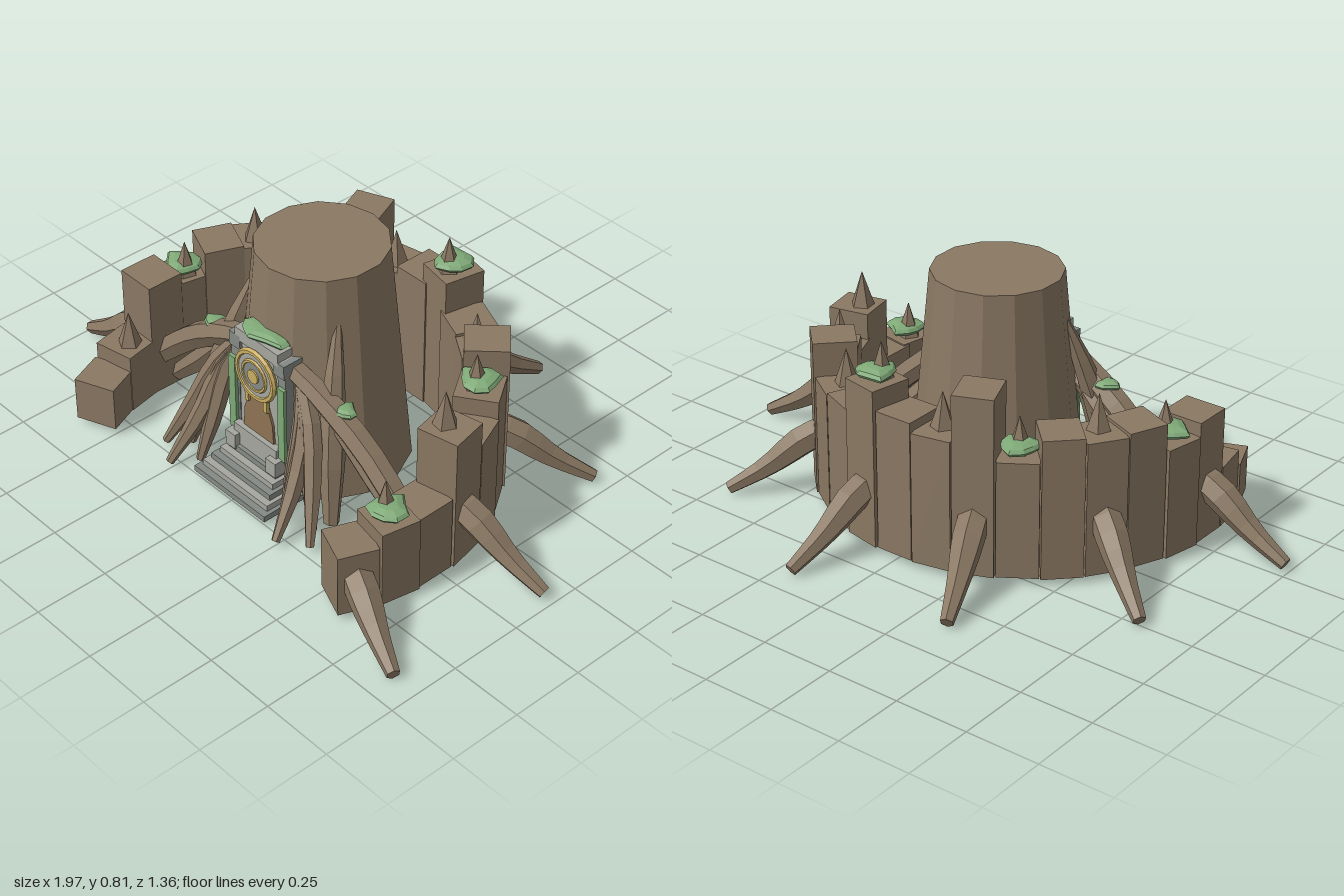
import * as THREE from 'three';

const mat = (name, color) => new THREE.MeshStandardMaterial({ name, color, flatShading: true });

export function createModel() {
  const bark = mat('bark', 0x8a7863), moss = mat('moss', 0x7fa977);
  const stone = mat('pale stone', 0xa6a79f), darkStone = mat('dark stone', 0x858a85);
  const gold = mat('gold', 0xc9ad62), wood = mat('door wood', 0x8f7355);
  const model = new THREE.Group();
  model.name = 'stumpShrine';

  const add = (name, geo, material, x = 0, y = 0, z = 0, parent = model) => {
    const g = geo.index ? geo.toNonIndexed() : geo;
    g.computeVertexNormals();
    const m = new THREE.Mesh(g, material);
    m.name = name;
    m.position.set(x, y, z);
    parent.add(m);
    return m;
  };
  const box = (name, material, w, h, d, x, y, z) =>
    add(name, new THREE.BoxGeometry(w, h, d), material, x, y + h / 2, z);

  // Tapered six-sided root along a curve; end rings collapse into caps
  const root = (name, points, radii, sides = 6) => {
    const curve = new THREE.CatmullRomCurve3(points.map(p => new THREE.Vector3(...p)));
    const n = 9;
    const geo = new THREE.TubeGeometry(curve, n, 1, sides);
    const pos = geo.attributes.position, v = new THREE.Vector3();
    for (let i = 0; i <= n; i++) {
      const t = THREE.MathUtils.clamp((i - 1) / (n - 2), 0, 1);
      const from = curve.getPointAt(i / n), to = curve.getPointAt(t);
      const f = t * (radii.length - 1), k = Math.min(Math.floor(f), radii.length - 2);
      const r = i === 0 || i === n ? 0 : THREE.MathUtils.lerp(radii[k], radii[k + 1], f - k);
      for (let j = 0; j <= sides; j++) {
        const id = i * (sides + 1) + j;
        v.fromBufferAttribute(pos, id).sub(from).multiplyScalar(r).add(to);
        pos.setXYZ(id, v.x, v.y, v.z);
      }
    }
    return add(name, geo, bark);
  };

  // Flattened lumpy moss cushion
  const cushion = (name, rx, ry, rz, x, y, z, seed = 0) => {
    const geo = new THREE.SphereGeometry(1, 9, 6);
    const pos = geo.attributes.position;
    for (let i = 0; i < pos.count; i++) {
      const a = Math.atan2(pos.getZ(i), pos.getX(i));
      const k = 1 + 0.14 * Math.sin(3 * a + seed) + 0.08 * Math.cos(5 * a + seed * 2);
      pos.setXYZ(i, pos.getX(i) * k * rx, pos.getY(i) * ry, pos.getZ(i) * k * rz);
    }
    return add(name, geo, moss, x, y, z);
  };

  // Stump trunk
  add('trunk', new THREE.CylinderGeometry(0.212, 0.285, 0.785, 14), bark, 0, 0.4175, 0.115);

  // Horseshoe wall of blocks with thorns, moss and outer roots
  const heights = [0.245, 0.295, 0.29, 0.495, 0.405, 0.465, 0.555, 0.44, 0.45, 0.565, 0.5,
    0.47, 0.63, 0.42, 0.5, 0.48, 0.49, 0.4, 0.445, 0.235, 0.18];
  const cz = 0.295;
  heights.forEach((h, i) => {
    const a = THREE.MathUtils.degToRad(22 - 11.2 * i), c = Math.cos(a), s = Math.sin(a);
    const at = (r, y) => [r * c, y, cz + r * s];
    const wob = 0.004 * Math.sin(i * 2.3);
    const [bx, , bz] = at(0.63 + wob, 0);
    const b = box('wallBlock', bark, 0.142, h - 0.025, 0.132, bx, 0.025, bz);
    b.rotation.y = -a;
    if (i % 2) {
      const [x, , z] = at(0.615, 0);
      const t = add('thorn', new THREE.ConeGeometry(0.043, 0.13, 5), bark, x, h + 0.055, z);
      t.rotation.y = i;
      if (i % 4 === 1) cushion('wallMoss', 0.064, 0.022, 0.064, bx, h + 0.025, bz, i);
    }
    if (i % 3 === 0) {
      const y = Math.min(0.225, h * 0.62);
      root('outerRoot', [at(0.64, y), at(0.72, y * 0.87), at(0.86, y * 0.42), at(0.985, 0.024)],
        [0.05, 0.052, 0.035, 0.022]);
    }
  });

  // Mirrored roots flowing from the trunk
  for (const m of [-1, 1]) {
    const side = (name, pts, radii) => root(name, pts.map(([x, y, z]) => [x * m, y, z]), radii);
    side('buttressRoot', [[0.175, 0.69, 0.205], [0.21, 0.55, 0.25], [0.26, 0.32, 0.31], [0.31, 0.03, 0.36]],
      [0.006, 0.035, 0.045, 0.025]);
    side('archRoot', [[0.1, 0.5, 0.33], [0.23, 0.435, 0.31], [0.4, 0.32, 0.29], [0.62, 0.12, 0.285]],
      [0.035, 0.045, 0.045, 0.042]);
    side('lowerArchRoot', [[0.15, 0.45, 0.3], [0.26, 0.37, 0.29], [0.38, 0.24, 0.27], [0.56, 0.06, 0.25]],
      [0.03, 0.04, 0.04, 0.03]);
    // Fan of slim roots beside the steps: tip x, tip z
    for (const [x, z] of [[0.2, 0.46], [0.255, 0.54], [0.29, 0.42], [0.345, 0.48]]) {
      side('frontRoot', [[0.13, 0.49, 0.32], [0.12 + x * 0.28, 0.36, 0.355],
        [0.06 + x * 0.65, 0.18, 0.27 + z * 0.3], [x, 0.025, z]], [0.022, 0.033, 0.03, 0.014]);
    }
    cushion('rootMoss', 0.042, 0.016, 0.036, 0.3 * m, 0.43, 0.295, m);
  }

  // Stepped stone stair
  for (let i = 0; i < 5; i++) {
    const front = 0.51 - i * 0.024;
    box('step', i % 2 ? stone : darkStone, 0.335 - i * 0.028, 0.021, front - 0.3,
      0, 0.026 + i * 0.021, (front + 0.3) / 2);
  }
  box('landing', stone, 0.2, 0.08, 0.1, 0, 0.125, 0.35);

  // Door frame, door and growth
  box('doorPanel', stone, 0.21, 0.34, 0.08, 0, 0.2, 0.335);
  box('lintel', stone, 0.2, 0.045, 0.1, 0, 0.525, 0.335);
  for (const m of [-1, 1]) {
    box('stairPost', stone, 0.045, 0.055, 0.06, 0.095 * m, 0.12, 0.39);
    box('framePost', darkStone, 0.035, 0.38, 0.09, 0.108 * m, 0.14, 0.333);
    box('cornerStone', darkStone, 0.05, 0.05, 0.1, 0.102 * m, 0.49, 0.335);
    box('mossStrip', moss, 0.03, 0.28, 0.012, 0.114 * m, 0.17, 0.384);
    box('goldHanger', gold, 0.016, 0.05, 0.012, 0.043 * m, 0.32, 0.386);
  }
  const arch = new THREE.Shape([[-0.07, 0.2], [0.07, 0.2], [0.066, 0.27], [0.045, 0.33], [0.02, 0.36],
    [-0.02, 0.36], [-0.045, 0.33], [-0.066, 0.27]].map(p => new THREE.Vector2(...p)));
  add('door', new THREE.ExtrudeGeometry(arch, { depth: 0.009, bevelEnabled: false }), wood, 0, 0.005, 0.374);
  cushion('lintelMoss', 0.1, 0.017, 0.045, 0, 0.583, 0.35, 2);

  // Round emblem over the door
  const emblem = new THREE.Group();
  emblem.name = 'emblem';
  emblem.position.set(0, 0.44, 0.385);
  model.add(emblem);
  const disc = (name, r, d, material, z) => {
    add(name, new THREE.CylinderGeometry(r, r, d, 20), material, 0, 0, z, emblem).rotation.x = Math.PI / 2;
  };
  disc('emblemDisc', 0.083, 0.016, stone, 0);
  disc('emblemInset', 0.05, 0.006, darkStone, 0.009);
  add('outerRing', new THREE.TorusGeometry(0.083, 0.011, 6, 20), gold, 0, 0, 0.003, emblem);
  add('innerRing', new THREE.TorusGeometry(0.052, 0.007, 6, 18), gold, 0, 0, 0.009, emblem);
  disc('emblemHub', 0.024, 0.014, gold, 0.011);

  return model;
}
